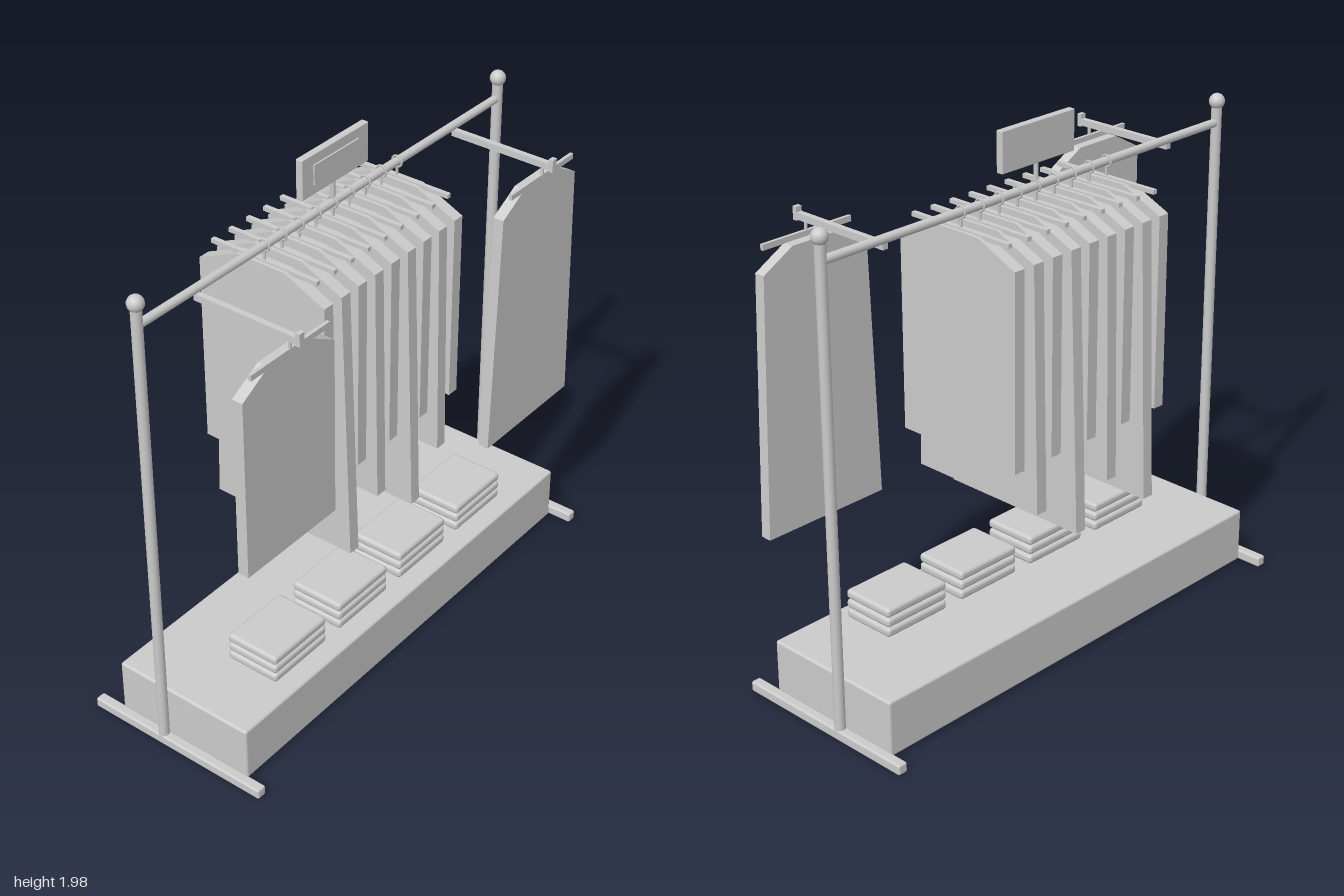
import * as THREE from 'three';
import { RoundedBoxGeometry } from 'three/addons/geometries/RoundedBoxGeometry.js';

const grey = new THREE.MeshStandardMaterial({ color: 0xcccccc });
const Z = -0.068; // depth of the rail and posts

function add(parent, name, geometry, x = 0, y = 0, z = 0) {
  const mesh = new THREE.Mesh(geometry, grey);
  mesh.name = name;
  mesh.position.set(x, y, z);
  parent.add(mesh);
  return mesh;
}
const box = (w, h, d) => new THREE.BoxGeometry(w, h, d);
const rounded = (w, h, d, r) => new RoundedBoxGeometry(w, h, d, 2, r);
const rod = (r, length, sides = 12) => new THREE.CylinderGeometry(r, r, length, sides);

// Flat garment with sloping shoulders, centred on x = 0 and z = 0
function garmentGeometry({ top, shoulder, bottom, neck, half, hem, thick }) {
  const shape = new THREE.Shape([
    [-hem, bottom], [hem, bottom], [half, shoulder],
    [neck, top], [-neck, top], [-half, shoulder],
  ].map(([x, y]) => new THREE.Vector2(x, y)));
  return new THREE.ExtrudeGeometry(shape, { depth: thick, bevelEnabled: false }).translate(0, 0, -thick / 2);
}

// Garment, hanger and hook hung on the main rail, seen edge-on from the front
function railGarment(x, bottom, hem) {
  const g = new THREE.Group();
  g.name = 'railGarment';
  g.position.set(x, 0, Z);
  const cloth = add(g, 'garment', garmentGeometry({
    top: 1.69, shoulder: 1.615, bottom, neck: 0.1, half: 0.267, hem, thick: 0.046,
  }));
  cloth.rotation.y = Math.PI / 2;
  add(g, 'hangerBar', box(0.018, 0.016, 0.45), 0, 1.688, 0);
  add(g, 'hookStem', rod(0.005, 0.04, 8), 0, 1.71, 0);
  add(g, 'hookRing', new THREE.TorusGeometry(0.021, 0.004, 6, 16), 0, 1.749, 0).rotation.y = Math.PI / 2;
  return g;
}

// Arm reaching forward from the rail with one garment facing the front
function frontDisplay(x, bottom, hem) {
  const g = new THREE.Group();
  g.name = 'frontDisplay';
  g.position.x = x;
  add(g, 'arm', box(0.022, 0.025, 0.43), 0, 1.723, 0.147);
  add(g, 'armTip', box(0.024, 0.048, 0.018), 0, 1.73, 0.355);
  add(g, 'hookStem', rod(0.006, 0.055, 8), 0, 1.69, 0.315);
  add(g, 'hangerBar', box(0.385, 0.021, 0.013), 0, 1.671, 0.313);
  add(g, 'garment', garmentGeometry({
    top: 1.662, shoulder: 1.592, bottom, neck: 0.1, half: 0.226, hem, thick: 0.042,
  }), 0, 0, 0.29);
  return g;
}

export function createModel() {
  const model = new THREE.Group();
  model.name = 'clothesRack';

  // Plinth
  add(model, 'plinth', rounded(1.885, 0.217, 0.58, 0.01), 0, 0.1165, 0);

  // Feet, posts and finials
  for (const side of [-1, 1]) {
    const x = side * 0.97;
    add(model, 'foot', rounded(0.04, 0.04, 0.76, 0.008), x, 0.02, 0);
    add(model, 'post', rod(0.02, 1.78), x, 0.92, Z);
    add(model, 'finial', new THREE.SphereGeometry(0.03, 14, 10), x, 1.83, Z);
  }

  // Hanging rail
  add(model, 'rail', rod(0.016, 1.94), 0, 1.749, Z).rotation.z = Math.PI / 2;

  // Sign above the rail
  add(model, 'signStem', rod(0.009, 0.09, 10), 0, 1.795, Z);
  add(model, 'signBoard', rounded(0.355, 0.15, 0.028, 0.004), 0, 1.908, Z);
  add(model, 'signPanel', box(0.24, 0.075, 0.008), 0, 1.908, Z + 0.016);

  // Row of garments: short ones alternating with long and medium ones
  const cuts = { short: [0.885, 0.267], medium: [0.704, 0.285], long: [0.568, 0.304] };
  const order = ['short', 'long', 'short', 'medium'];
  for (let i = 0; i < 9; i++) {
    model.add(railGarment((i - 4) * 0.09, ...cuts[order[i % 4]]));
  }

  // Front-facing garments
  model.add(frontDisplay(-0.698, 0.907, 0.226));
  model.add(frontDisplay(0.698, 0.635, 0.26));

  // Folded stacks on the plinth
  for (let i = 0; i < 4; i++) {
    const stack = new THREE.Group();
    stack.name = 'foldedStack';
    stack.position.set(-0.552 + i * 0.36, 0, 0.11);
    for (let j = 0; j < 3; j++) {
      add(stack, 'foldedGarment', rounded(0.286, 0.036, 0.22, 0.014), 0, 0.249 + j * 0.039, 0);
    }
    model.add(stack);
  }
  return model;
}
